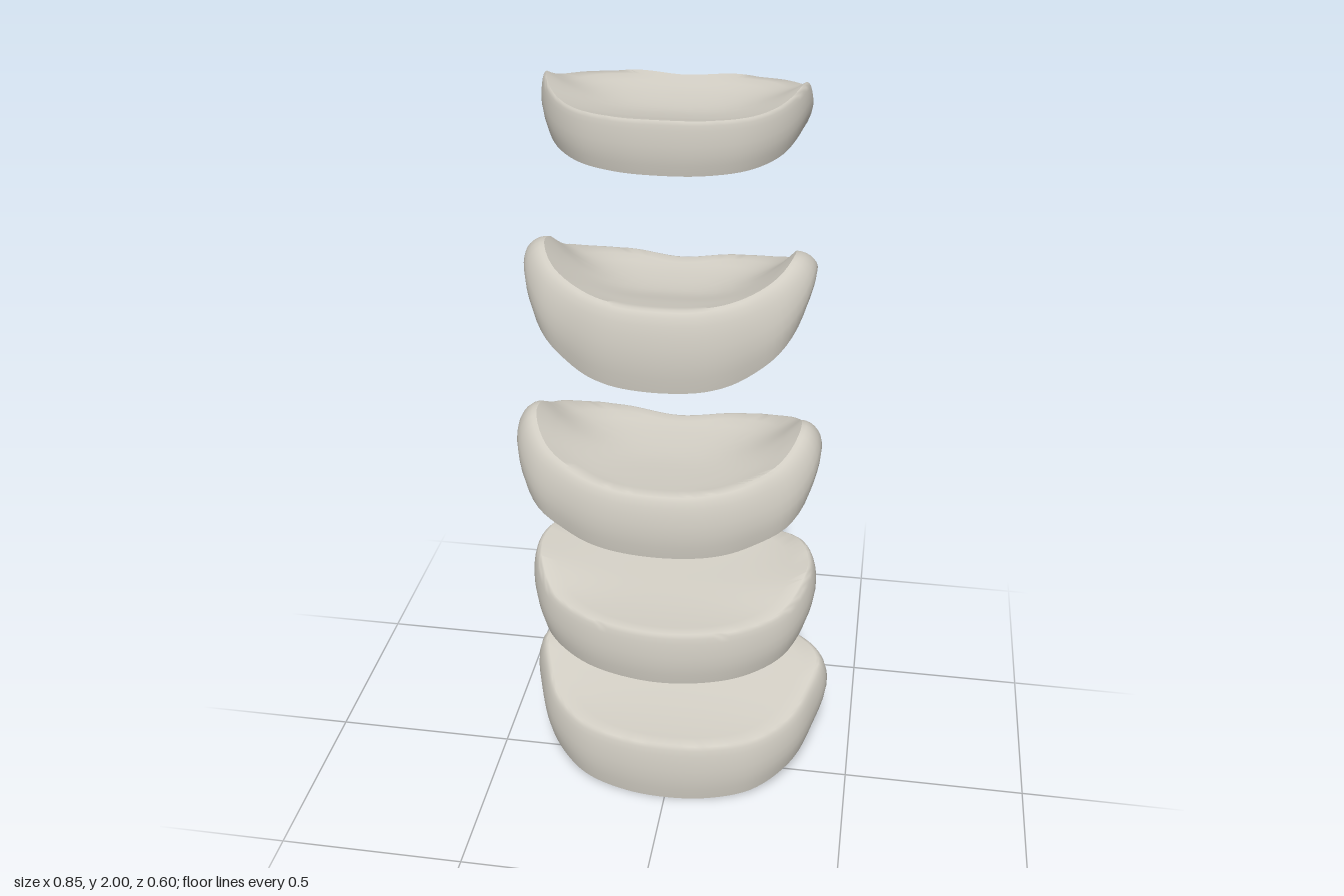
import * as THREE from 'three';
import { toCreasedNormals } from 'three/addons/utils/BufferGeometryUtils.js';

const SEGMENTS = 96;

// Half outlines from the back middle to the front middle:
// x as a share of the half width, z as a share of the depth (0 back, 1 front).
const OVAL = [[0, .05], [.5, 0], [.83, .07], [1, .3], [1, .5], [.87, .72], [.63, .89], [.3, .98], [0, 1]];
const ROUND = [[0, .05], [.5, 0], [.82, .1], [.97, .32], [1, .6], [.87, .785], [.65, .88], [.4, .96], [0, 1]];
const TAPERED = [[0, .05], [.5, 0], [.82, .1], [.98, .3], [1, .48], [.87, .71], [.65, .86], [.4, .95], [0, 1]];
const BROAD = [[0, 0], [.35, 0], [.64, .005], [.85, .09], [1, .27], [.94, .5], [.83, .7], [.6, .885], [.3, .975], [0, 1]];

// Heights are five stations from back to front: top and base along the
// middle, and the same two surfaces along the raised sides.
const DISCS = [
  { name: 'topDisc', outline: OVAL, width: .31, back: -.22, front: .21, inset: .95,
    top: [1.96, 1.935, 1.925, 1.94, 1.965], topSide: [1.95, 1.965, 2, 1.99, 1.965],
    base: [1.86, 1.855, 1.85, 1.845, 1.84], baseSide: [1.86, 1.89, 1.9, 1.865, 1.84] },
  { name: 'upperDisc', outline: ROUND, width: .35, back: -.18, front: .28, inset: .84,
    top: [1.53, 1.505, 1.5, 1.525, 1.545], topSide: [1.515, 1.56, 1.622, 1.605, 1.535],
    base: [1.44, 1.42, 1.395, 1.37, 1.34], baseSide: [1.44, 1.5, 1.56, 1.47, 1.34] },
  { name: 'middleDisc', outline: ROUND, width: .385, back: -.14, front: .3, inset: .85,
    top: [1.1, 1.075, 1.06, 1.06, 1.065], topSide: [1.09, 1.14, 1.185, 1.14, 1.06],
    base: [1.03, 1, .96, .93, .895], baseSide: [1.04, 1.065, 1.09, .99, .895] },
  { name: 'lowerDisc', outline: TAPERED, width: .385, back: -.2, front: .26, inset: .93,
    top: [.7, .675, .655, .637, .63], topSide: [.705, .73, .71, .655, .63],
    base: [.64, .59, .545, .5, .475], baseSide: [.665, .655, .58, .51, .475] },
  { name: 'bottomDisc', outline: BROAD, width: .43, back: -.3, front: .18, inset: .91,
    top: [.315, .27, .23, .2, .185], topSide: [.3, .295, .255, .21, .185],
    base: [.2, .145, .095, .045, 0], baseSide: [.24, .18, .11, .05, 0] },
];

// Smooth value along evenly spaced stations
function sample(values, t) {
  const curve = new THREE.SplineCurve(values.map((v, i) => new THREE.Vector2(i, v)));
  return curve.getPoint(THREE.MathUtils.clamp(t, 0, 1)).y;
}

function discGeometry(d) {
  const depth = d.front - d.back;
  const middle = (d.front + d.back) / 2;
  const place = ([x, t]) => new THREE.Vector3(x * d.width, 0, d.back + t * depth);
  const mirrored = d.outline.slice(1, -1).reverse().map(([x, t]) => [-x, t]);
  const rim = new THREE.CatmullRomCurve3([...d.outline, ...mirrored].map(place), true)
    .getSpacedPoints(SEGMENTS).slice(0, SEGMENTS);

  // Height of a saddle surface, rising towards the sides at each depth
  const height = (mid, side, x, z, reach) => {
    const t = (z - d.back) / depth;
    const fromMiddle = Math.min(1, Math.abs(2 * t - 1) / reach);
    const local = Math.max(.6, Math.cbrt(1 - fromMiddle ** 3));
    const w = Math.min(1, Math.abs(x) / (d.width * reach * local)) ** 3;
    return THREE.MathUtils.lerp(sample(mid, t), sample(side, t), w);
  };

  // Rings run from the base middle, out and up the rounded wall, to the top middle.
  // scale sets the position, up the share of the way from base to top.
  const baseInset = .96;
  const rings = [];
  for (let k = 0; k <= 8; k++) rings.push({ scale: baseInset * k / 8, up: 0 });
  for (let k = 1; k < 8; k++) {
    const angle = k / 8 * Math.PI / 2;
    const foot = (1 - baseInset) * Math.max(0, 1 - k / 3) ** 2;
    rings.push({ scale: d.inset + (1 - d.inset) * Math.cos(angle) - foot, up: Math.sin(angle) });
  }
  for (let k = 8; k >= 0; k--) rings.push({ scale: d.inset * k / 8, up: 1 });

  const positions = [];
  for (const { scale, up } of rings) {
    for (const p of rim) {
      const at = s => [p.x * s, middle + (p.z - middle) * s];
      const onWall = up > 0 && up < 1;
      const low = height(d.base, d.baseSide, ...at(onWall ? baseInset : scale), baseInset);
      const high = height(d.top, d.topSide, ...at(onWall ? d.inset : scale), d.inset);
      const [x, z] = at(scale);
      positions.push(x, THREE.MathUtils.lerp(low, high, up), z);
    }
  }

  // Quads between rings, with single triangles at the two middle points
  const index = [];
  for (let j = 0; j < rings.length - 1; j++) {
    for (let i = 0; i < SEGMENTS; i++) {
      const a = j * SEGMENTS + i;
      const b = j * SEGMENTS + (i + 1) % SEGMENTS;
      const c = a + SEGMENTS, e = b + SEGMENTS;
      if (j < rings.length - 2) index.push(a, c, e);
      if (j > 0) index.push(a, e, b);
    }
  }

  const geometry = new THREE.BufferGeometry();
  geometry.setAttribute('position', new THREE.Float32BufferAttribute(positions, 3));
  geometry.setIndex(index);
  return toCreasedNormals(geometry, .75);
}

export function createModel() {
  const model = new THREE.Group();
  model.name = 'discStack';
  const cartilage = new THREE.MeshStandardMaterial({ color: 0xd0ccc2 });
  cartilage.name = 'pale cartilage';
  for (const d of DISCS) {
    const disc = new THREE.Mesh(discGeometry(d), cartilage);
    disc.name = d.name;
    model.add(disc);
  }
  return model;
}
